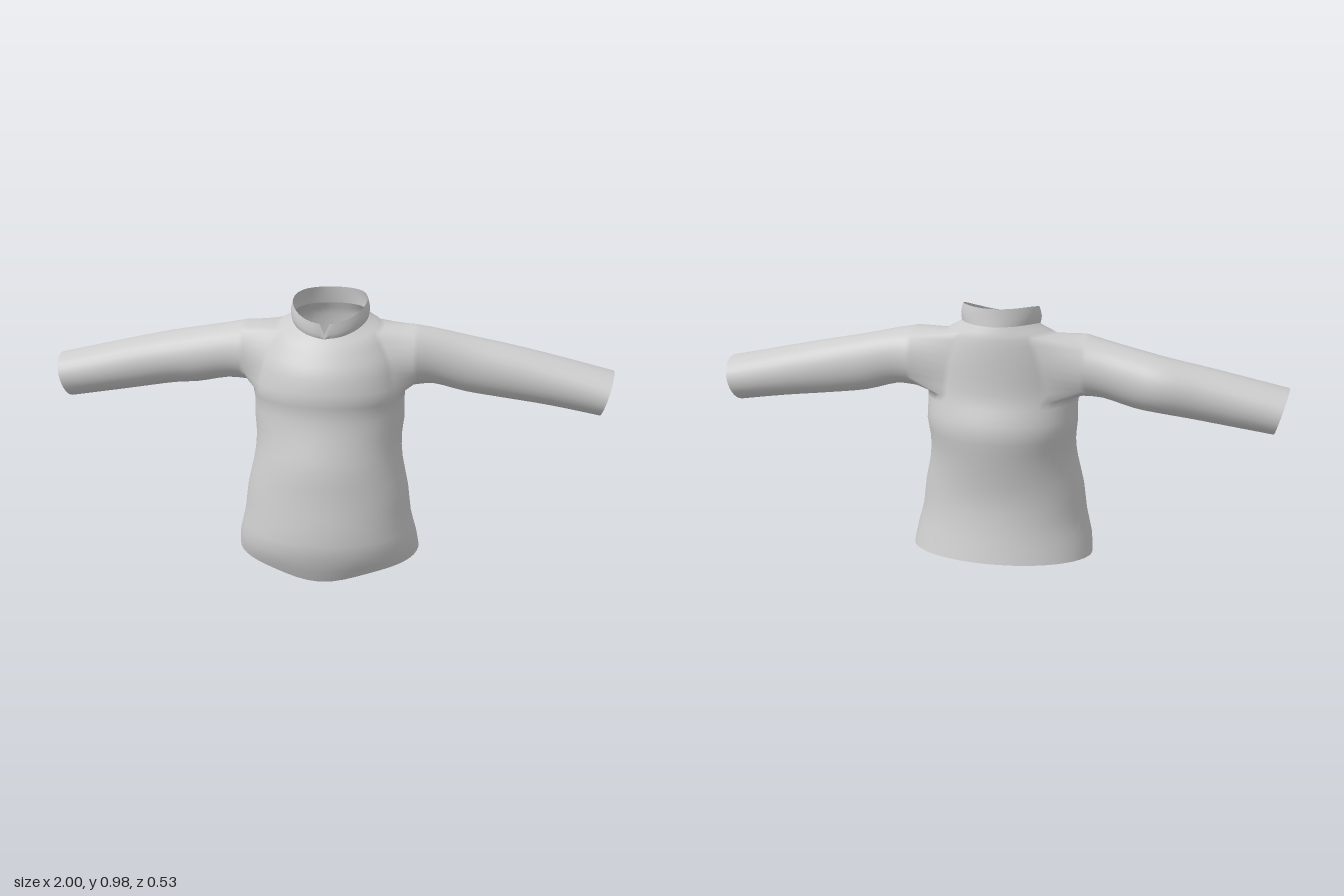
import * as THREE from 'three';

const COLS = 48, SUB = 2;

// Smoothly subdivide a table of section parameters
function refine(table, sub) {
  const out = [];
  const n = table.length;
  for (let i = 0; i < (n - 1) * sub + 1; i++) {
    const k = Math.min(Math.floor(i / sub), n - 2), t = i / sub - k;
    const p = [k - 1, k, k + 1, k + 2].map(j => table[Math.max(0, Math.min(n - 1, j))]);
    out.push(p[0].map((_, m) => {
      const [a, b, c, d] = p.map(r => r[m]);
      return 0.5 * (2 * b + (c - a) * t + (2 * a - 5 * b + 4 * c - d) * t * t + (3 * b - a - 3 * c + d) * t ** 3);
    }));
  }
  return out;
}

// Point on an oval body section: [yFront, ySide, yBack, halfWidth, zFront, zBack]
function ovalPoint([yF, yS, yB, hw, zF, zB], col) {
  const a = col / COLS * Math.PI * 2, c = Math.cos(a);
  const y = yS + (yF - yB) / 2 * c + ((yF + yB) / 2 - yS) * c * c;
  return [hw * Math.sin(a), y, (zF + zB) / 2 + (zF - zB) / 2 * c];
}

function toGeometry(points, index) {
  const g = new THREE.BufferGeometry();
  g.setAttribute('position', new THREE.Float32BufferAttribute(points.flat(), 3));
  g.setIndex(index);
  g.computeVertexNormals();
  return g;
}

const quad = (index, a, b, e, d) => index.push(a, b, e, a, e, d);

// Body sections from hem to neck
const bodyRows = [
  [0.03, 0.055, 0.08, 0.33, 0.228, -0.26],
  [0.10, 0.12, 0.14, 0.322, 0.264, -0.245],
  [0.20, 0.20, 0.21, 0.302, 0.26, -0.23],
  [0.30, 0.30, 0.30, 0.29, 0.245, -0.22],
  [0.40, 0.40, 0.40, 0.268, 0.235, -0.23],
  [0.48, 0.48, 0.48, 0.262, 0.215, -0.242],
  [0.55, 0.55, 0.55, 0.27, 0.197, -0.25],
  [0.61, 0.61, 0.61, 0.268, 0.19, -0.235],
  [0.655, 0.655, 0.66, 0.272, 0.195, -0.218],
  [0.705, 0.71, 0.715, 0.262, 0.187, -0.212],
  [0.75, 0.77, 0.77, 0.25, 0.173, -0.21],
  [0.79, 0.825, 0.825, 0.225, 0.15, -0.208],
  [0.825, 0.873, 0.875, 0.195, 0.128, -0.203],
  [0.845, 0.893, 0.90, 0.16, 0.112, -0.196],
  [0.858, 0.908, 0.92, 0.136, 0.10, -0.188],
];

// Sleeve sections from shoulder to cuff: [x, yTop, yBottom, zFront, zBack]
const leftSleeve = [
  [0.30, 0.880, 0.664, 0.045, -0.163],
  [0.38, 0.866, 0.668, 0.018, -0.157],
  [0.50, 0.840, 0.640, 0.003, -0.166],
  [0.65, 0.810, 0.621, 0.002, -0.176],
  [0.82, 0.772, 0.602, 0.008, -0.182],
  [1.00, 0.730, 0.574, 0.022, -0.185],
];
const rightSleeve = [
  [0.30, 0.880, 0.664, 0.055, -0.160],
  [0.38, 0.862, 0.664, 0.038, -0.160],
  [0.50, 0.838, 0.640, 0.025, -0.176],
  [0.60, 0.818, 0.630, 0.020, -0.186],
  [0.75, 0.787, 0.610, 0.026, -0.166],
  [1.00, 0.730, 0.574, 0.050, -0.153],
];

// Armhole extents in the body grid
const HOLE = { r0: 8 * SUB, r1: 12 * SUB, c0: 9, c1: 18 };

function bodyGeometry() {
  const rows = refine(bodyRows, SUB), points = [], index = [];
  rows.forEach((row, r) => {
    for (let c = 0; c < COLS; c++) {
      const p = ovalPoint(row, c);
      // hem drops to a soft point at the front
      const front = Math.max(0, Math.cos(c / COLS * Math.PI * 2));
      p[1] -= 0.03 * front ** 10 * Math.max(0, 1 - r / 2);
      points.push(p);
    }
  });
  const id = (r, c) => r * COLS + (c + COLS) % COLS;
  const inHole = (r, c) => {
    const m = c < COLS / 2 ? c : COLS - 1 - c;
    return r >= HOLE.r0 && r < HOLE.r1 && m >= HOLE.c0 && m < HOLE.c1;
  };
  for (let r = 0; r < rows.length - 1; r++) {
    for (let c = 0; c < COLS; c++) {
      if (!inHole(r, c)) quad(index, id(r, c), id(r, c + 1), id(r + 1, c + 1), id(r + 1, c));
    }
  }

  // Sleeves grow out of the armhole borders
  for (const [side, table] of [[1, leftSleeve], [-1, rightSleeve]]) {
    const { r0, r1 } = HOLE;
    const c0 = side > 0 ? HOLE.c0 : COLS - HOLE.c1;
    const c1 = side > 0 ? HOLE.c1 : COLS - HOLE.c0;
    let ring = [];
    for (let c = c0; c < c1; c++) ring.push(id(r0, c));
    for (let r = r0; r < r1; r++) ring.push(id(r, c1));
    for (let c = c1; c > c0; c--) ring.push(id(r1, c));
    for (let r = r1; r > r0; r--) ring.push(id(r, c0));
    const angles = ring.map(i => {
      const [, y, z] = points[i];
      return Math.atan2((y - 0.767) / 0.108, (z + 0.05) / 0.108);
    });
    for (const [x, yT, yB, zF, zB] of refine(table, 3)) {
      const slant = 0.045 * Math.min(1, (x - 0.3) / 0.5);
      const next = angles.map(a => {
        const s = Math.sin(a);
        points.push([
          side * (x - slant * (1 - s) / 2),
          (yT + yB) / 2 + (yT - yB) / 2 * s,
          (zF + zB) / 2 + (zF - zB) / 2 * Math.cos(a),
        ]);
        return points.length - 1;
      });
      ring.forEach((a, i) => {
        const j = (i + 1) % ring.length;
        quad(index, a, ring[j], next[j], next[i]);
      });
      ring = next;
    }
  }
  return toGeometry(points, index);
}

// Stand-up collar with a notch at the front
function collarGeometry() {
  const rows = refine([
    bodyRows[bodyRows.length - 1],
    [0.875, 0.935, 0.95, 0.14, 0.104, -0.183],
    [0.91, 0.966, 0.981, 0.132, 0.102, -0.179],
  ], SUB);
  const points = [], index = [];
  rows.forEach((row, r) => {
    for (let c = 0; c <= COLS; c++) {
      const p = ovalPoint(row, c);
      if (c % COLS === 0) p[1] -= 0.04 * r / (rows.length - 1);
      points.push(p);
    }
  });
  const w = COLS + 1;
  for (let r = 0; r < rows.length - 1; r++) {
    for (let c = 0; c < COLS; c++) quad(index, r * w + c, r * w + c + 1, (r + 1) * w + c + 1, (r + 1) * w + c);
  }
  return toGeometry(points, index);
}

export function createModel() {
  const cloth = new THREE.MeshStandardMaterial({ color: 0xcccccc, side: THREE.DoubleSide });
  cloth.name = 'greyCloth';
  const group = new THREE.Group();
  group.name = 'jacket';
  const parts = { bodyAndSleeves: bodyGeometry(), collar: collarGeometry() };
  for (const [name, geometry] of Object.entries(parts)) {
    const mesh = new THREE.Mesh(geometry, cloth);
    mesh.name = name;
    group.add(mesh);
  }
  return group;
}
